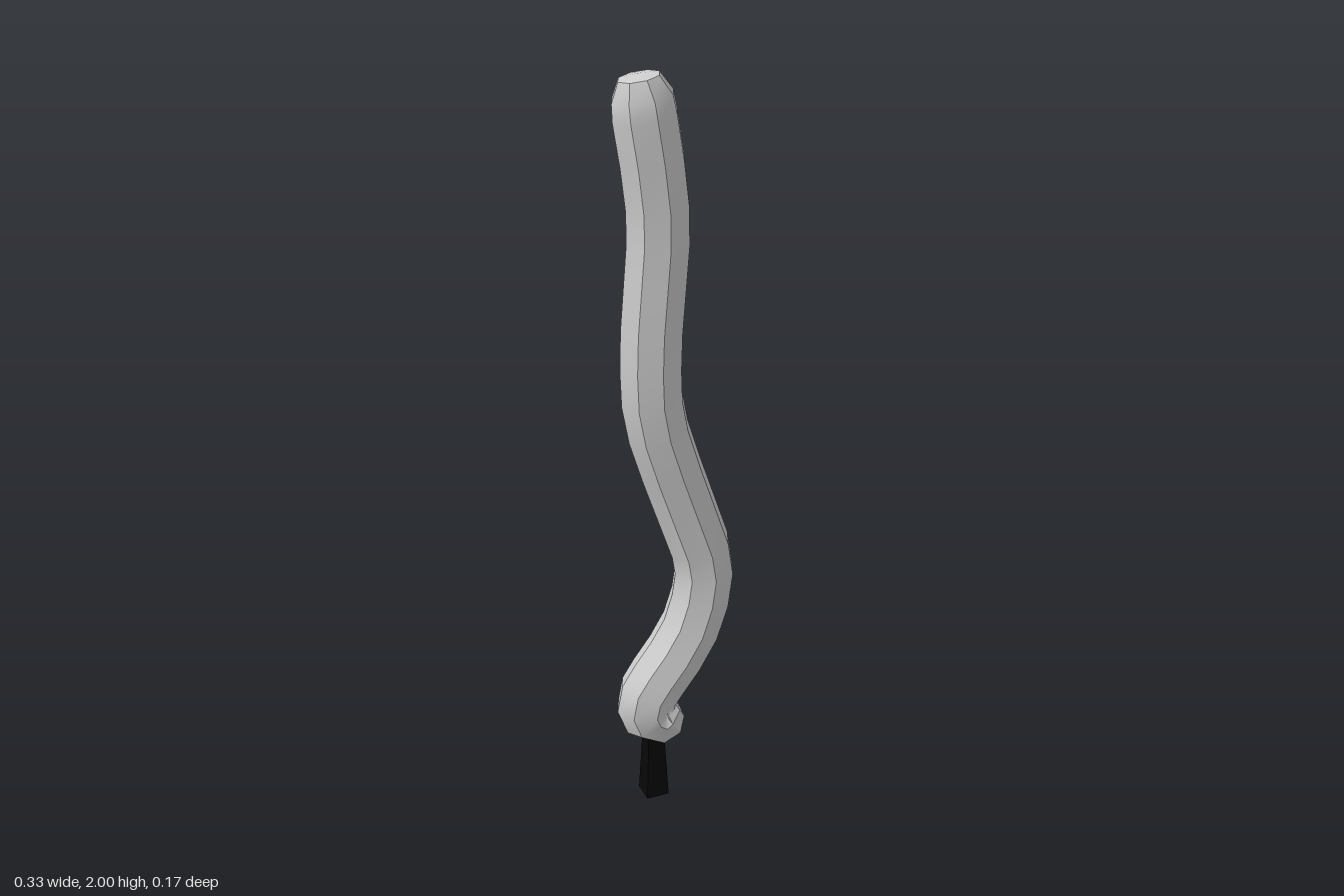
import * as THREE from 'three';
import { toCreasedNormals } from 'three/addons/utils/BufferGeometryUtils.js';

const SIDES = 8;

// Sweeps an octagon along a path in the xy plane; each station is [x, y, radius].
function sweep(stations) {
  const positions = [], index = [];
  const last = stations.length - 1;
  stations.forEach(([x, y, r], i) => {
    const p = stations[Math.max(i - 1, 0)], n = stations[Math.min(i + 1, last)];
    const t = new THREE.Vector2(n[0] - p[0], n[1] - p[1]).normalize();
    for (let j = 0; j < SIDES; j++) {
      const a = (j / SIDES) * Math.PI * 2;
      positions.push(x + r * Math.cos(a) * t.y, y - r * Math.cos(a) * t.x, r * Math.sin(a));
    }
  });
  for (let i = 0; i < last; i++) {
    for (let j = 0; j < SIDES; j++) {
      const k = (j + 1) % SIDES;
      const a = i * SIDES + j, b = i * SIDES + k;
      const c = a + SIDES, d = b + SIDES;
      // Stations of zero radius close the ends with a fan
      if (stations[i][2] > 0) index.push(a, c, b);
      if (stations[i + 1][2] > 0) index.push(b, c, d);
    }
  }
  const geometry = new THREE.BufferGeometry();
  geometry.setAttribute('position', new THREE.Float32BufferAttribute(positions, 3));
  geometry.setIndex(index);
  return toCreasedNormals(geometry, 0.6);
}

export function createModel() {
  const model = new THREE.Group();

  // Wavy body, from the rounded top down to the curled lower end
  const R = 0.083;
  const body = new THREE.Mesh(
    sweep([
      [-0.092, 2.0, 0], [-0.091, 1.992, 0.053], [-0.082, 1.945, 0.079],
      [-0.076, 1.9, R], [-0.058, 1.79, R], [-0.045, 1.68, R], [-0.044, 1.59, R],
      [-0.053, 1.48, R], [-0.062, 1.37, R], [-0.065, 1.27, R], [-0.062, 1.18, R],
      [-0.045, 1.09, R], [-0.01, 0.98, R], [0.072, 0.745, R],
      [0.084, 0.67, R], [0.073, 0.59, R], [0.045, 0.505, R], [0.0, 0.43, R],
      [-0.05, 0.365, R], [-0.077, 0.325, R], [-0.085, 0.285, R],
      [-0.075, 0.26, R], [-0.055, 0.248, R], [-0.04, 0.26, R],
      [-0.007, 0.28, 0.053], [0.003, 0.286, 0],
    ]),
    new THREE.MeshStandardMaterial({ color: 0xcccccc })
  );
  body.name = 'wavyBody';
  model.add(body);

  // Dark square stem, slightly wider at the foot
  const stemGeometry = new THREE.CylinderGeometry(0.032, 0.045, 0.2, 4, 1)
    .rotateY(Math.PI / 4).toNonIndexed();
  stemGeometry.computeVertexNormals();
  const stem = new THREE.Mesh(stemGeometry, new THREE.MeshStandardMaterial({ color: 0x080808 }));
  stem.name = 'stem';
  stem.position.set(-0.064, 0.1, 0);
  model.add(stem);

  return model;
}
